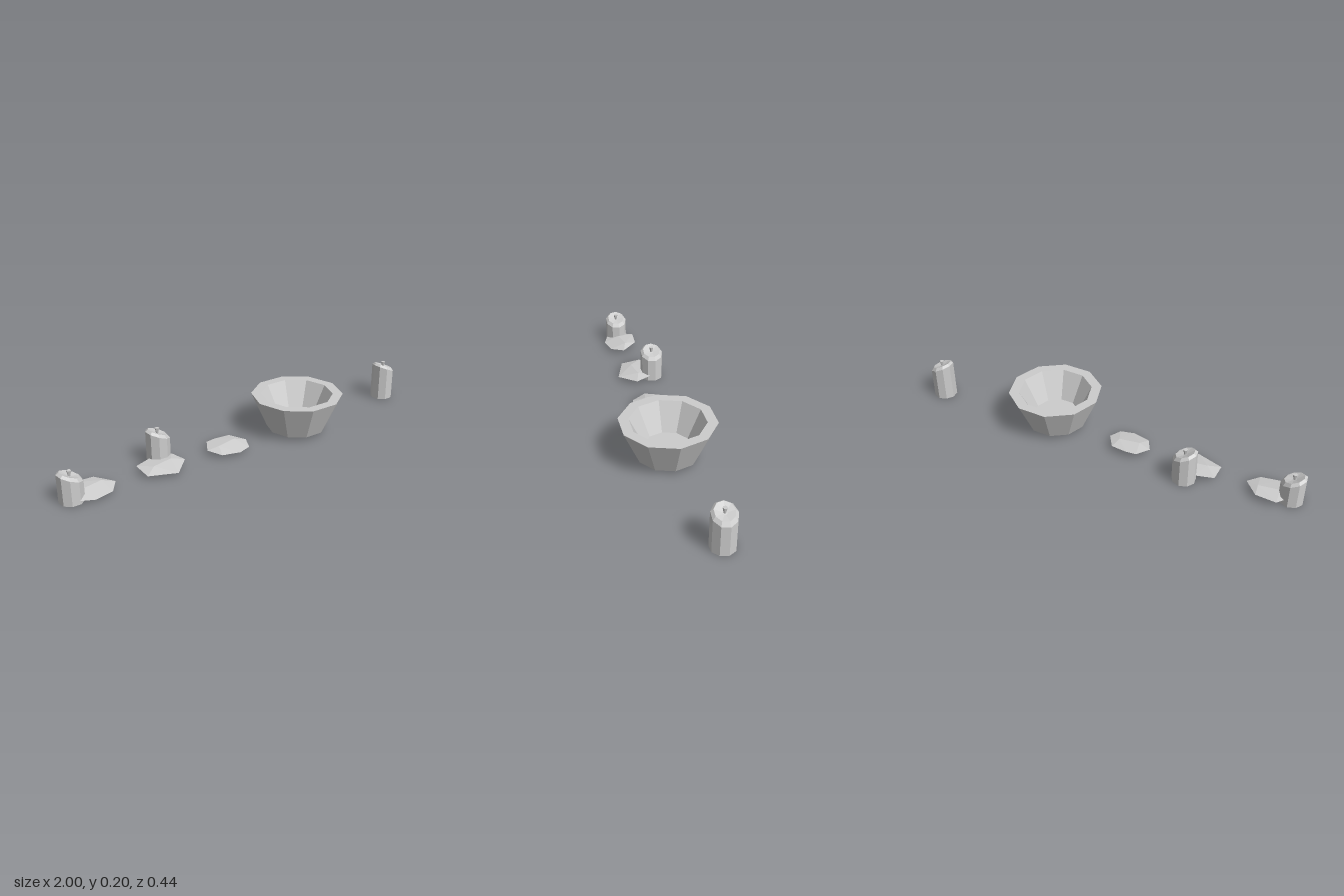
import * as THREE from 'three';
import { ConvexGeometry } from 'three/addons/geometries/ConvexGeometry.js';

const paleGrey = new THREE.MeshStandardMaterial({ color: 0xcccccc, flatShading: true });
paleGrey.name = 'paleGrey';

const add = (parent, name, geometry, x = 0, y = 0, z = 0) => {
  const mesh = new THREE.Mesh(geometry, paleGrey);
  mesh.name = name;
  mesh.position.set(x, y, z);
  parent.add(mesh);
  return mesh;
};

const lathe = (points, sides) =>
  new THREE.LatheGeometry(points.map(([r, y]) => new THREE.Vector2(r, y)), sides);

// Nine-sided candle with a slanted, bevelled and dished top
function makeCandle(name, x, z, height) {
  const candle = new THREE.Group();
  candle.name = name;
  candle.position.set(x, 0, z);
  const rim = height - 0.018;
  const body = lathe([
    [0, 0], [0.058, 0], [0.058, rim - 0.014], [0.045, rim], [0.01, rim - 0.008], [0, rim - 0.008],
  ], 9);
  body.rotateY(Math.PI);
  // Slant the upper rings down towards +x
  const p = body.attributes.position;
  for (let i = 0; i < p.count; i++) {
    if (p.getY(i) > 0.01) p.setY(i, p.getY(i) - 0.4 * p.getX(i));
  }
  body.computeVertexNormals();
  add(candle, 'candleBody', body);
  add(candle, 'wick', new THREE.CylinderGeometry(0.011, 0.005, 0.028, 6), 0, height - 0.013, 0);
  return candle;
}

// Flat faceted stone: a tilted outline with two crest and two base points
function makeStone(outline, x) {
  const points = outline.map(([px, pz]) => new THREE.Vector3(px, 0.025 - 0.1 * pz, pz));
  points.push(
    new THREE.Vector3(-0.05, 0.038, 0.0), new THREE.Vector3(0.05, 0.04, -0.02),
    new THREE.Vector3(-0.03, 0.006, 0.01), new THREE.Vector3(0.05, 0.008, -0.01),
  );
  const geometry = new ConvexGeometry(points);
  geometry.translate(x, 0, 0);
  return geometry;
}

export function createModel() {
  const model = new THREE.Group();
  model.name = 'bowlCandlesAndStones';

  // Ten-sided bowl with thick rim and recessed underside
  const bowl = add(model, 'bowl', lathe([
    [0, 0.05], [0.11, 0.05], [0.15, 0.02], [0.23, 0.197], [0.18, 0.197], [0.11, 0.06], [0, 0.06],
  ], 10), 0.29, 0, 0);
  bowl.rotation.y = Math.PI / 10;

  // Candles
  model.add(
    makeCandle('shortCandle', -0.943, 0.003, 0.147),
    makeCandle('middleCandle', -0.458, -0.097, 0.173),
    makeCandle('tallCandle', 0.943, -0.064, 0.2),
  );

  // Stones
  add(model, 'outerStone', makeStone([
    [0.11, 0], [0.04, -0.08], [-0.06, -0.085], [-0.11, -0.01], [-0.09, 0.06], [-0.025, 0.085], [0.065, 0.064],
  ], -0.84));
  add(model, 'middleStone', makeStone([
    [-0.11, -0.06], [-0.105, 0.04], [0.03, 0.085], [0.114, 0], [0.085, -0.075], [-0.02, -0.09],
  ], -0.485));
  add(model, 'innerStone', makeStone([
    [-0.11, -0.01], [-0.07, -0.08], [-0.02, -0.087], [0.06, -0.08], [0.11, -0.005], [0.085, 0.06], [0.02, 0.08], [-0.07, 0.06],
  ], -0.13));

  return model;
}
